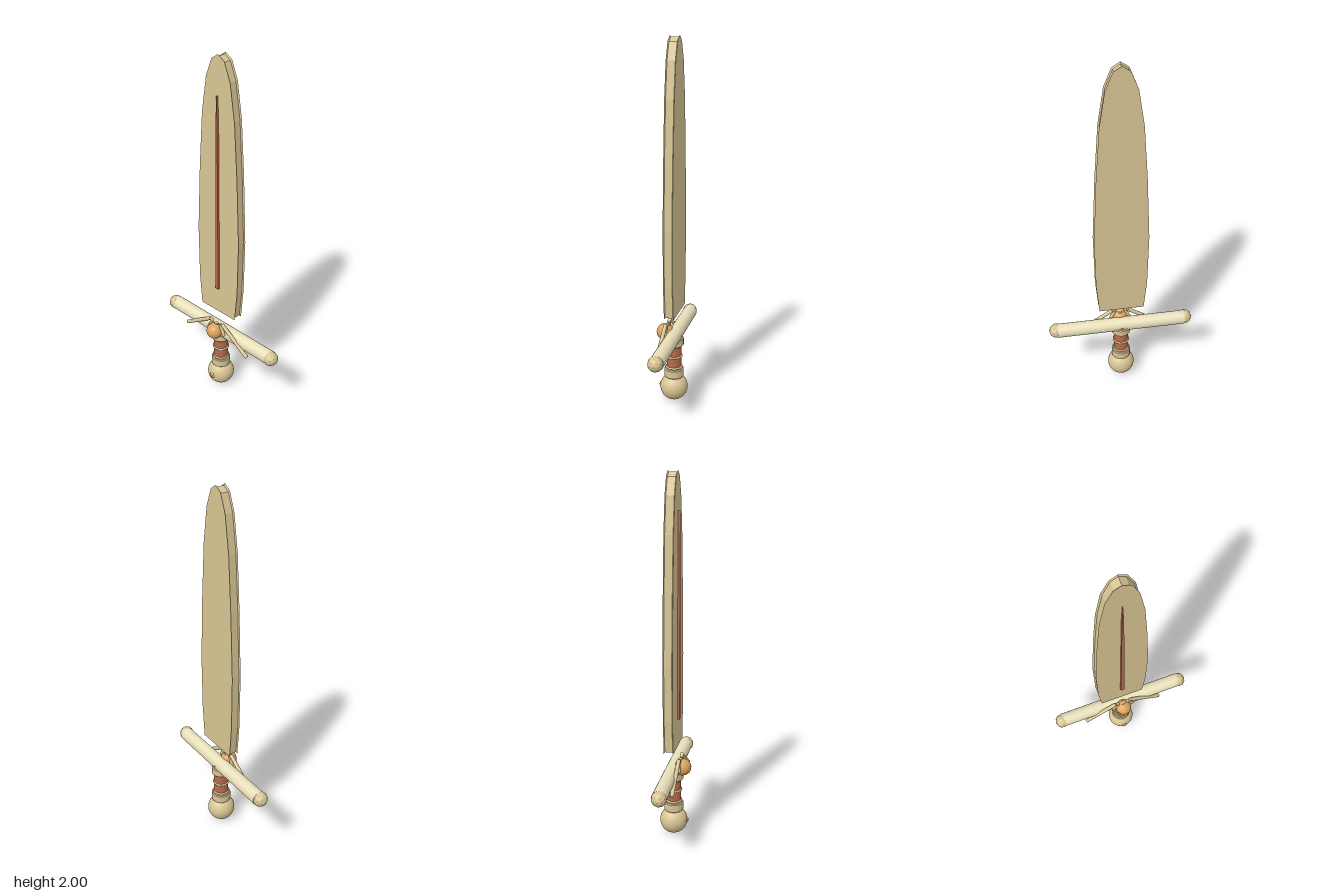
import * as THREE from 'three';

const paint = (color, flatShading = false) =>
  new THREE.MeshStandardMaterial({ color, flatShading });

export function createModel() {
  const sword = new THREE.Group();
  const gold = paint(0xd8c594), goldFlat = paint(0xd8c594, true);
  const cream = paint(0xe8dfba), red = paint(0xb86a4e);
  const redFlat = paint(0xb86a4e, true), amber = paint(0xdca35c, true);
  const axisZ = -0.01; // the handle sits slightly behind the centre

  const add = (name, geometry, material, x = 0, y = 0, z = 0) => {
    const mesh = new THREE.Mesh(geometry, material);
    mesh.name = name;
    mesh.position.set(x, y, z);
    sword.add(mesh);
    return mesh;
  };
  const shapeFrom = (half) => new THREE.Shape([
    ...half.map(([x, y]) => new THREE.Vector2(x, y)),
    ...half.filter(([x]) => x > 0).reverse().map(([x, y]) => new THREE.Vector2(-x, y)),
  ]);
  // straight round rod between two points
  const rod = (name, a, b, radius) => {
    const from = new THREE.Vector3(...a), to = new THREE.Vector3(...b);
    const dir = to.clone().sub(from);
    const mesh = add(name, new THREE.CylinderGeometry(radius, radius, dir.length(), 12), gold);
    mesh.position.copy(from).add(to).multiplyScalar(0.5);
    mesh.quaternion.setFromUnitVectors(new THREE.Vector3(0, 1, 0), dir.normalize());
  };

  // broad leaf blade: the negative bevel leaves a recessed edge between two lips
  const bladeShape = shapeFrom([
    [0.127, 0.527], [0.143, 0.71], [0.148, 1.02], [0.131, 1.39],
    [0.11, 1.69], [0.08, 1.88], [0.042, 1.973], [0, 2],
  ]);
  add('blade', new THREE.ExtrudeGeometry(bladeShape, {
    depth: 0.042, bevelThickness: 0.005, bevelSize: -0.008, bevelSegments: 1,
  }), goldFlat, 0, 0, -0.034);

  // slim red inlay on the front of the blade
  const inlayShape = shapeFrom([[0.011, 0.685], [0.008, 1.2], [0.005, 1.66], [0, 1.8]]);
  add('bladeInlay', new THREE.ExtrudeGeometry(inlayShape, { depth: 0.015, bevelEnabled: false }),
    redFlat, 0, 0, 0.01);

  // crossguard with faceted end knobs
  add('crossguard', new THREE.CylinderGeometry(0.04, 0.04, 0.74, 24), cream, 0, 0.386, -0.013)
    .rotation.z = Math.PI / 2;
  for (const s of [-1, 1]) {
    add('guardKnob', new THREE.IcosahedronGeometry(0.042, 1), goldFlat, s * 0.377, 0.387, -0.01);
    // rods fanning out from the front jewel
    rod('outerRay', [s * 0.045, 0.46, 0.027], [s * 0.236, 0.332, 0.027], 0.011);
    rod('innerRay', [s * 0.03, 0.457, 0.028], [s * 0.06, 0.39, 0.028], 0.01);
  }
  rod('centreRay', [0, 0.36, 0.028], [0, 0.452, 0.028], 0.012);

  // jewels
  add('frontJewel', new THREE.IcosahedronGeometry(0.047, 2), amber, 0, 0.403, 0.042);
  add('backJewel', new THREE.OctahedronGeometry(0.02), redFlat, 0, 0.386, -0.048)
    .scale.set(1, 0.6, 0.4);

  // grip, collars and rings
  add('grip', new THREE.CylinderGeometry(0.041, 0.041, 0.23, 24), red, 0, 0.255, axisZ);
  const collar = (name, y0, y1, r) => {
    const c = 0.005;
    const profile = [[0, y0], [r - c, y0], [r, y0 + c], [r, y1 - c], [r - c, y1], [0, y1]]
      .map(([x, y]) => new THREE.Vector2(x, y));
    add(name, new THREE.LatheGeometry(profile, 24), goldFlat, 0, 0, axisZ);
  };
  collar('lowerCollar', 0.14, 0.192, 0.054);
  collar('upperCollar', 0.328, 0.375, 0.054);
  for (const y of [0.2, 0.265, 0.33]) {
    add('gripRing', new THREE.TorusGeometry(0.042, 0.006, 8, 28), gold, 0, y, axisZ)
      .rotation.x = Math.PI / 2;
  }

  // round pommel with a small stud
  add('pommel', new THREE.SphereGeometry(0.077, 32, 20), gold, 0, 0.078, axisZ);
  add('pommelStud', new THREE.IcosahedronGeometry(0.021, 1), amber, 0, 0.08, 0.054);

  return sword;
}
